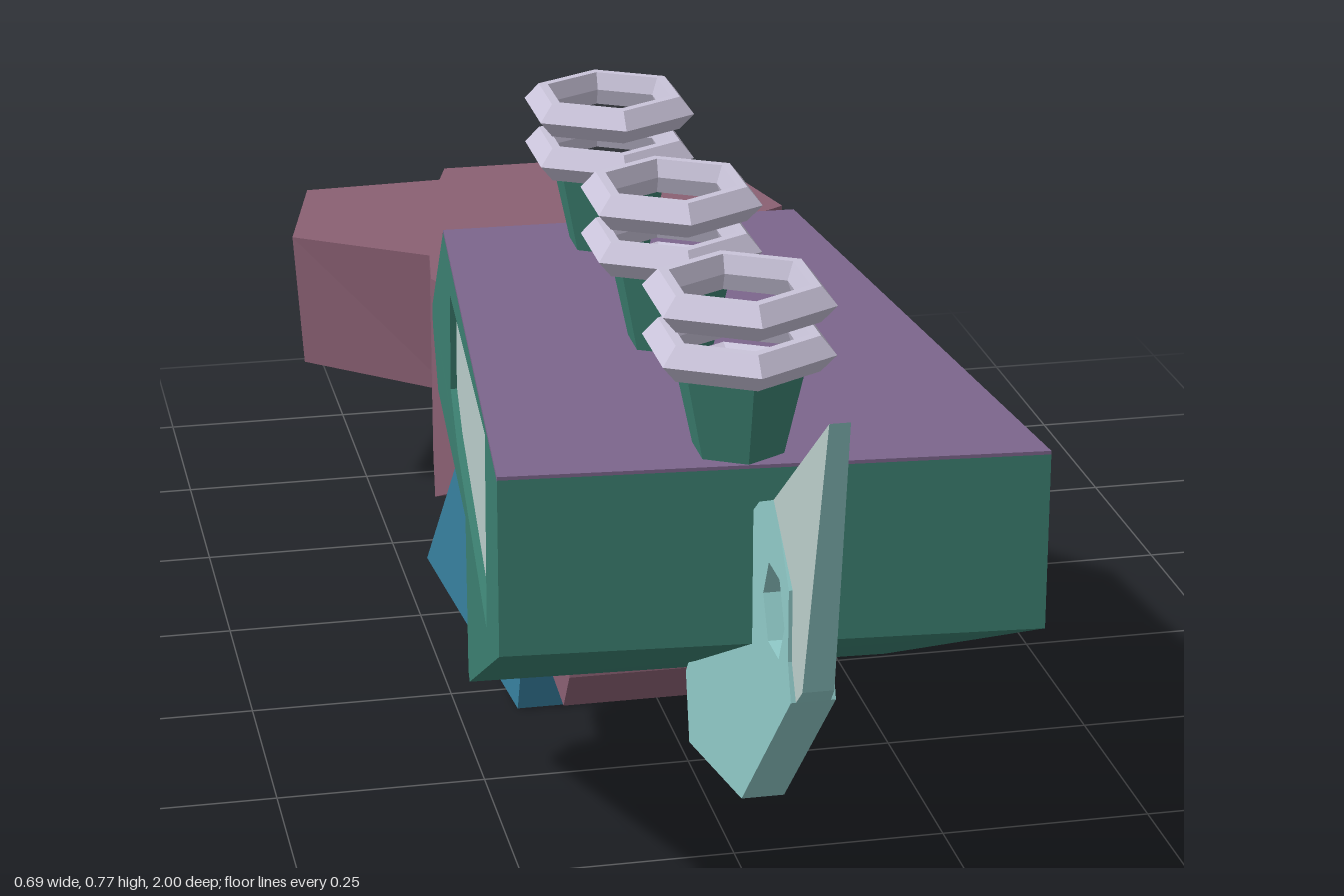
import * as THREE from 'three';

const colours = {
  hullGreen: 0x3c8071, roofPurple: 0x7c668c, mauve: 0x8a6073, blue: 0x37809f, cyan: 0x90cac8,
  lilac: 0xcac4da, paleGreen: 0x98cfa8, glassGrey: 0xbacdca, ventGrey: 0x7d7484,
};
const mats = {};
for (const [name, hex] of Object.entries(colours)) {
  mats[name] = new THREE.MeshStandardMaterial({ color: hex });
  mats[name].name = name;
}

const CX = -0.012; // centre line of the hull

function mesh(name, geometry, material) {
  const g = geometry.index ? geometry.toNonIndexed() : geometry;
  g.computeVertexNormals();
  const m = new THREE.Mesh(g, material);
  m.name = name;
  return m;
}

const toPoints = (list) => list.map(([a, b]) => new THREE.Vector2(a, b));

// Extrudes an outline by one unit, then moves every vertex by a rule
function extrudeBy(outline, rule, hole) {
  const shape = new THREE.Shape(toPoints(outline));
  if (hole) shape.holes.push(new THREE.Path(toPoints(hole)));
  const g = new THREE.ExtrudeGeometry(shape, { depth: 1, bevelEnabled: false });
  const p = g.attributes.position;
  for (let i = 0; i < p.count; i++) p.setXYZ(i, ...rule(p.getX(i), p.getY(i), p.getZ(i)));
  return g;
}

// Side outline of (z, y) points, spread across x by a half width that depends on z
const sideSlab = (outline, half, hole, skew = () => 0) =>
  extrudeBy(outline, (z, y, t) => {
    const x = (1 - 2 * t) * half(z);
    return [CX + x, y, z + x * skew(z)];
  }, hole);

// Top outline of (x, z) points, with a flat top and a ruled bottom
const topSlab = (outline, top, bottom) =>
  extrudeBy(outline.map(([x, z]) => [x, -z]), (x, b, t) => (t > 0.5 ? [x, top, -b] : bottom(x, -b)));

function chimney(z) {
  const g = new THREE.Group();
  g.name = 'chimney';
  const stack = new THREE.CylinderGeometry(0.073, 0.05, 0.1, 6, 1, true);
  stack.translate(0, 0.62, 0);
  g.add(mesh('chimneyStack', stack, mats.hullGreen));
  const dish = new THREE.LatheGeometry(toPoints([[0.073, 0.67], [0, 0.645]]), 6);
  g.add(mesh('chimneyDish', dish, mats.lilac));
  const section = [[0.078, -0.02], [0.09, -0.02], [0.108, 0], [0.09, 0.02], [0.078, 0.02], [0.07, 0], [0.078, -0.02]];
  for (const y of [0.693, 0.748]) {
    const ring = mesh('chimneyRing', new THREE.LatheGeometry(toPoints(section), 6), mats.lilac);
    ring.position.y = y;
    g.add(ring);
  }
  g.position.set(-0.041, 0, z);
  return g;
}

export function createModel() {
  const model = new THREE.Group();
  model.name = 'vehicle';
  const add = (name, geometry, material) => model.add(mesh(name, geometry, material));

  // Hull: tapers to the rear, with a slightly skewed front and recessed side windows
  const hullHalf = (z) => 0.23 + 0.089 * z;
  const skew = (z) => 0.07 * Math.max(0, z + 0.36);
  const windowOutline = [[0.565, 0.56], [0, 0.528], [-0.015, 0.4], [0.1, 0.362], [0.55, 0.322]];
  add('hull', sideSlab([
    [0.735, 0.572], [0.735, 0.37], [0.25, 0.125], [0.23, 0.13], [0.22, 0.325],
    [-0.27, 0.305], [-0.36, 0.365], [-0.36, 0.39], [-0.11, 0.572],
  ], hullHalf, windowOutline, skew), mats.hullGreen);
  add('roof', sideSlab([[0.735, 0.571], [-0.11, 0.571], [-0.125, 0.563], [-0.105, 0.576], [0.735, 0.576]],
    hullHalf, null, skew), mats.roofPurple);
  add('windowFrames', sideSlab(windowOutline, (z) => hullHalf(z) - 0.01, null, skew), mats.paleGreen);
  add('windowPanes', sideSlab(
    [[0.55, 0.525], [0.51, 0.545], [0.025, 0.51], [0.01, 0.412], [0.1, 0.385], [0.51, 0.345], [0.545, 0.365]],
    (z) => hullHalf(z) - 0.006, null, skew), mats.glassGrey);

  // Blue lining below the hull, and the mount of the engine pod
  add('hullLining', sideSlab([
    [0.232, 0.132], [0.212, 0.135], [0.195, 0.295], [-0.2, 0.29], [-0.29, 0.295], [-0.385, 0.35],
    [-0.36, 0.362], [-0.27, 0.32], [0.22, 0.33],
  ], (z) => hullHalf(z) - 0.012, null, skew), mats.blue);
  add('podMount', sideSlab([[0.03, 0.2], [0.03, 0.3], [-0.21, 0.3], [-0.16, 0.2]], () => 0.17), mats.blue);

  // Engine pod: widens to the rear, with two vents below
  add('enginePod', sideSlab([[0.105, 0.205], [0.06, 0], [-0.27, 0.072], [-0.15, 0.25]],
    (z) => 0.175 - 0.185 * z), mats.blue);
  for (const s of [-1, 1]) {
    const vent = mesh('podVent', new THREE.BoxGeometry(0.055, 0.008, 0.24), mats.ventGrey);
    vent.position.set(CX + s * 0.075, 0.036, -0.105);
    vent.rotation.set(0.215, 0, 0);
    model.add(vent);
  }

  // Neck joining the hull to the tail
  add('neck', sideSlab([
    [0.22, 0.11], [0.18, 0.055], [0.09, 0.065], [0.075, 0.13], [-0.24, 0.135], [-0.275, 0.11],
    [-0.41, 0.12], [-0.41, 0.365], [-0.385, 0.345], [-0.27, 0.29], [0.2, 0.3],
  ], () => 0.128), mats.mauve);

  // Tail core, with a keel that rises to the rear
  const right = [[0.125, -0.4], [0.175, -0.52], [0.163, -0.61], [0.095, -0.95], [0.08, -1]];
  const core = [...right, ...right.map(([x, z]) => [-x, z]).reverse()].map(([x, z]) => [x + CX, z]);
  add('tailCore', topSlab(core, 0.37, (x, z) =>
    [x, z > -0.52 ? 0.055 + (z + 0.52) * 0.5 : 0.055 - (z + 0.52) * 0.281, z]), mats.mauve);

  // Tail wings, smaller below than above
  const wing = [[0.15, -0.6], [0.347, -0.732], [0.3, -0.938], [0.08, -0.95]];
  add('tailWings', topSlab([...wing, ...wing.map(([x, z]) => [-x, z]).reverse()], 0.37, (x, z) =>
    [x * 0.97, 0.175 - (z + 0.62) * 0.14, -0.65 + (z + 0.65) * 0.85]), mats.mauve);
  add('tailKeelPlate', sideSlab([
    [-0.4, 0.118], [-0.4, 0.085], [-0.52, 0.027], [-0.96, 0.148], [-0.965, 0.182], [-0.52, 0.06],
  ], () => 0.105), mats.hullGreen);

  // Front fin with a six-sided hole and a tapered grey tip
  const hole = [];
  for (let i = 0; i < 6; i++) {
    const a = (i * Math.PI) / 3;
    hole.push([0.83 + 0.048 * Math.cos(a), 0.45 + 0.052 * Math.sin(a)]);
  }
  add('fin', sideSlab([
    [0.83, 0.575], [0.76, 0.545], [0.7, 0.5], [0.7, 0.36], [0.45, 0.25], [0.4, 0.19],
    [0.42, 0.108], [0.69, 0.165], [0.91, 0.38], [0.895, 0.42], [0.895, 0.5],
  ], () => 0.024, hole), mats.cyan);
  add('finTip', sideSlab([
    [1, 0.722], [0.83, 0.575], [0.895, 0.5], [0.895, 0.42], [0.91, 0.38], [0.93, 0.4],
  ], (z) => 0.011 + (1 - z) * 0.085), [mats.glassGrey, mats.cyan]);

  // Chimneys along the roof
  for (const z of [0.68, 0.335, -0.025]) model.add(chimney(z));

  return model;
}
